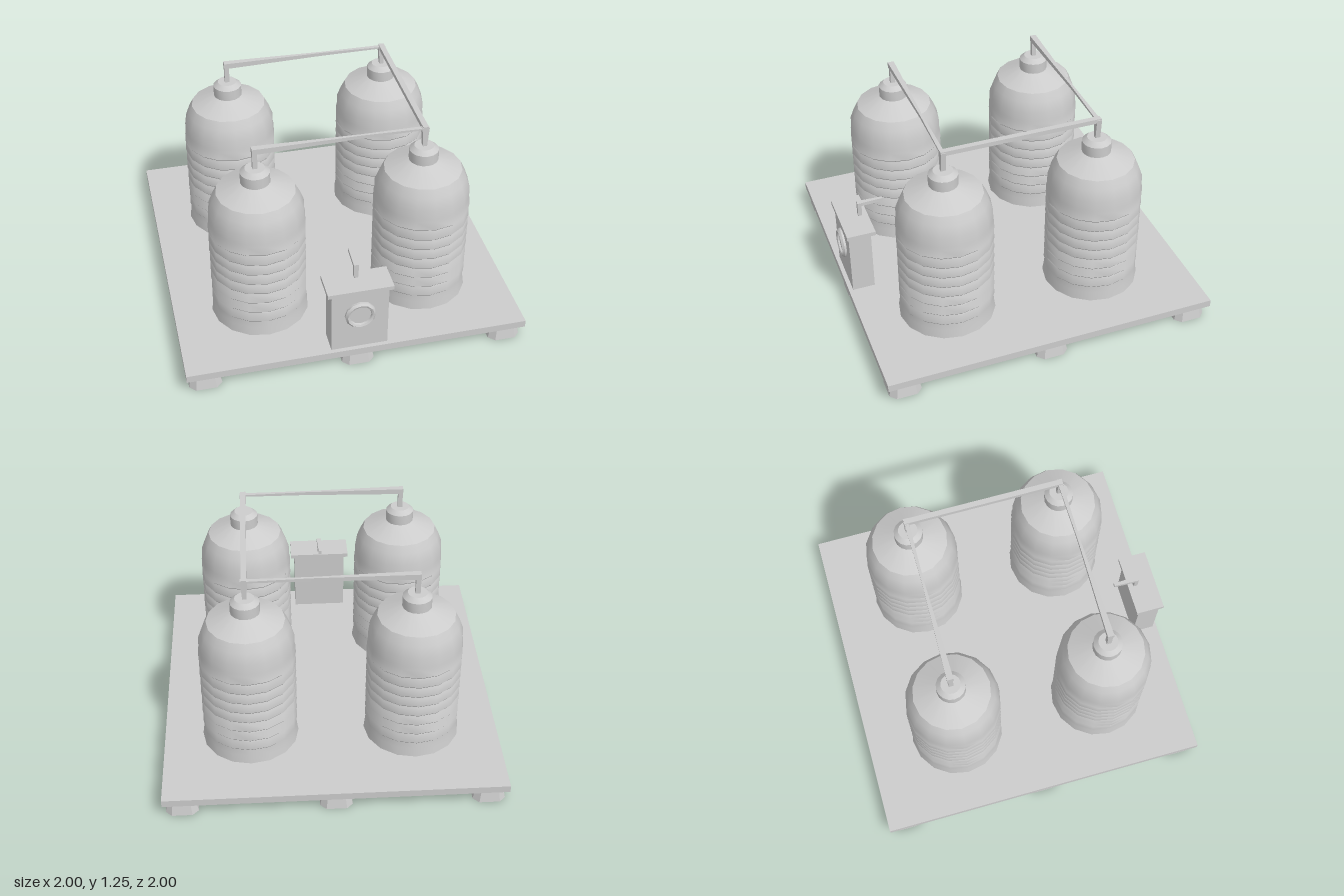
import * as THREE from 'three';
import { toCreasedNormals } from 'three/addons/utils/BufferGeometryUtils.js';

export function createModel() {
  const model = new THREE.Group();
  const grey = new THREE.MeshStandardMaterial({ color: 0xcccccc });
  grey.name = 'light grey';

  const add = (name, geometry, x = 0, y = 0, z = 0) => {
    const mesh = new THREE.Mesh(geometry, grey);
    mesh.name = name;
    mesh.position.set(x, y, z);
    model.add(mesh);
    return mesh;
  };
  const box = (name, x0, x1, y0, y1, z0, z1) =>
    add(name, new THREE.BoxGeometry(x1 - x0, y1 - y0, z1 - z0), (x0 + x1) / 2, (y0 + y1) / 2, (z0 + z1) / 2);
  const lathe = (points, sides) => toCreasedNormals(
    new THREE.LatheGeometry(points.map(([r, y]) => new THREE.Vector2(r, y)), sides), 0.6);

  // Box running along +x or +y whose cross-section changes from start to end
  const taper = (axis, length, start, end) => {
    const g = new THREE.BoxGeometry(1, 1, 1);
    const p = g.attributes.position;
    const cross = axis === 'x' ? ['Y', 'Z'] : ['X', 'Z'];
    const along = axis.toUpperCase();
    for (let i = 0; i < p.count; i++) {
      const t = p['get' + along](i) + 0.5;
      p['set' + along](i, t * length);
      cross.forEach((c, k) =>
        p['set' + c](i, p['get' + c](i) * THREE.MathUtils.lerp(start[k], end[k], t)));
    }
    g.computeVertexNormals();
    return g;
  };

  // Platform
  box('platform', -1, 1, 0.09, 0.135, -1, 1);

  // Nine feet: chamfered squares, wider at the ground
  const h = 0.095, c = 0.06;
  const footShape = new THREE.Shape(
    [[h, -c], [h, c], [c, h], [-c, h], [-h, c], [-h, -c], [-c, -h], [c, -h]]
      .map(([x, y]) => new THREE.Vector2(x, y)));
  const foot = new THREE.ExtrudeGeometry(footShape, { depth: 0.09, bevelEnabled: false });
  foot.rotateX(-Math.PI / 2);
  const fp = foot.attributes.position;
  for (let i = 0; i < fp.count; i++) {
    const s = 1 - 0.18 * fp.getY(i) / 0.09;
    fp.setX(i, fp.getX(i) * s);
    fp.setZ(i, fp.getZ(i) * s);
  }
  foot.computeVertexNormals();
  for (const x of [-0.89, 0, 0.89]) for (const z of [-0.89, 0, 0.89]) add('foot', foot, x, 0, z);

  // Four tanks: flared base, shallow ribs, rounded shoulder, cone and neck
  const profile = [[0.287, 0.135], [0.279, 0.19]];
  for (let y = 0.23; y < 0.78; y += 0.07) profile.push([0.275, y], [0.281, y + 0.008], [0.279, y + 0.062]);
  profile.push([0.275, 0.8], [0.274, 0.86], [0.25, 0.925], [0.225, 0.975],
    [0.085, 1.035], [0.085, 1.1], [0.057, 1.125], [0, 1.125]);
  const tank = lathe(profile, 16);
  const X = 0.485, zs = [-0.435, 0.485];
  for (const z of zs) {
    for (const x of [-X, X]) add('tank', tank, x, 0, z);
    // Outlet posts and the tapering cross pipe of each pair
    add('leftPost', taper('y', 0.125, [0.022, 0.03], [0.042, 0.03]), X, 1.12, z);
    add('rightPost', taper('y', 0.13, [0.028, 0.028], [0.028, 0.028]), -X, 1.12, z);
    add('crossPipe', taper('x', 0.61, [0.034, 0.038], [0.02, 0.014]), -0.5, 1.238, z);
    add('crossPipe', taper('x', 0.385, [0.02, 0.014], [0.01, 0.026]), 0.11, 1.238, z);
  }
  // Pipe joining the two pairs
  box('joiningPipe', X - 0.016, X + 0.016, 1.225, 1.252, -0.45, 0.5);

  // Control box with overhanging lid
  box('controlBox', -0.165, 0.165, 0.135, 0.535, 0.84, 0.975);
  box('controlBoxLid', -0.19, 0.19, 0.535, 0.56, 0.815, 0.988);

  // Gauge: bevelled rim round a recessed face
  const gauge = lathe([[0.09, 0], [0.09, 0.012], [0.078, 0.025], [0.066, 0.02], [0.062, 0.01], [0, 0.01]], 12);
  add('gauge', gauge, 0, 0.38, 0.975).rotation.x = Math.PI / 2;

  // Control pipe: up from the lid, then back toward the tanks
  add('controlPost', taper('y', 0.095, [0.022, 0.024], [0.03, 0.024]), 0, 0.555, 0.86);
  const feed = add('controlPipe', taper('x', 0.155, [0.022, 0.03], [0.022, 0.018]), 0, 0.641, 0.872);
  feed.rotation.y = Math.PI / 2;

  return model;
}
